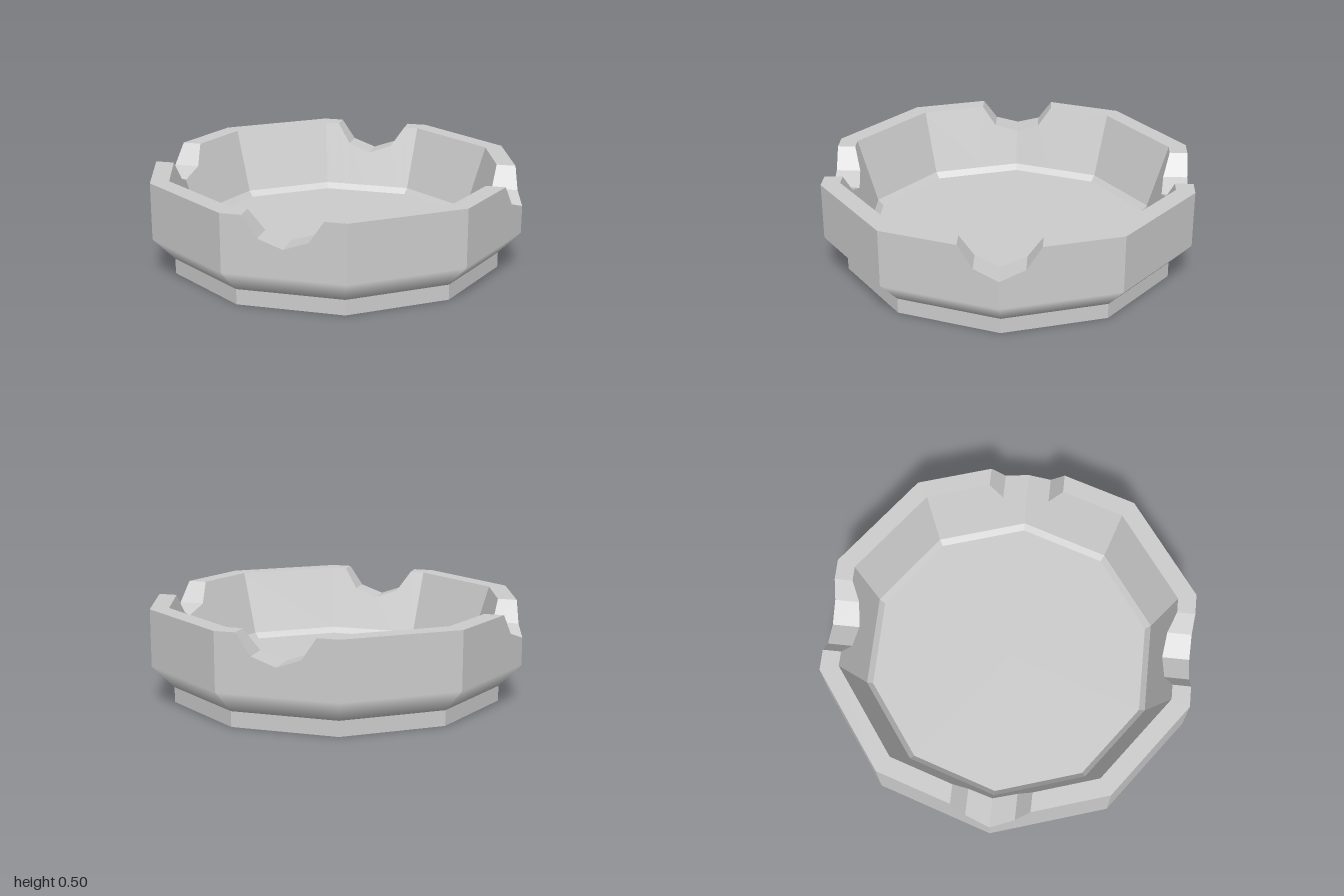
import * as THREE from 'three';

const TAN = Math.tan(Math.PI / 10), COS = Math.cos(Math.PI / 10);

// Stations around the ten-sided bowl: plan position at radius r, and rim height h
const corner = (deg) => {
  const a = THREE.MathUtils.degToRad(deg);
  return { at: (r) => [r * Math.cos(a), r * Math.sin(a)], h: 0.5 };
};
const sideNotch = (t, h) => ({ at: (r) => [r - t * TAN, t], h });
const frontNotch = (t, h) => ({ at: (r) => [t, r * COS], h });
const notch = [[0, 0.345], [0.125, 0.39], [0.2, 0.5]];

const quadrant = [
  ...notch.map(([t, h]) => sideNotch(t, h)),
  corner(36), corner(72),
  ...[...notch].reverse().map(([t, h]) => frontNotch(t, h)),
];

// Mirror the quadrant into a closed loop
function makeLoop() {
  const loop = [];
  for (const [sx, sz] of [[1, 1], [-1, 1], [-1, -1], [1, -1]]) {
    const part = quadrant.map(({ at, h }) => ({
      at: (r) => { const [x, z] = at(r); return [x * sx, z * sz]; }, h,
    }));
    if (sx * sz < 0) part.reverse();
    loop.push(...part.slice(0, -1));
  }
  return loop;
}

// Strip between two profile points; each point is a function of rim height giving [radius, y].
// Optional tilts give the outward and vertical normal parts at the two ends.
function strip(loop, p, q, tilts) {
  const pos = [], nor = [];
  const place = (s, f) => {
    const [r, y] = f(s.h), [x, z] = s.at(r);
    return [x, y, z];
  };
  loop.forEach((a, i) => {
    const b = loop[(i + 1) % loop.length];
    const ap = place(a, p), aq = place(a, q), bq = place(b, q), bp = place(b, p);
    pos.push(...ap, ...aq, ...bq, ...ap, ...bq, ...bp);
    if (tilts) {
      const [ax, az] = a.at(1), [bx, bz] = b.at(1);
      const len = Math.hypot(bx - ax, bz - az);
      const [n0, n1] = tilts.map(([out, up]) => [out * (bz - az) / len, up, -out * (bx - ax) / len]);
      nor.push(...n0, ...n1, ...n1, ...n0, ...n1, ...n0);
    }
  });
  const g = new THREE.BufferGeometry();
  g.setAttribute('position', new THREE.Float32BufferAttribute(pos, 3));
  if (tilts) g.setAttribute('normal', new THREE.Float32BufferAttribute(nor, 3));
  else g.computeVertexNormals();
  return g;
}

export function createModel() {
  const group = new THREE.Group();
  group.name = 'ashtray';
  const grey = new THREE.MeshStandardMaterial({ color: 0xcccccc });
  grey.name = 'light grey';
  const add = (name, geometry) => {
    const mesh = new THREE.Mesh(geometry, grey);
    mesh.name = name;
    group.add(mesh);
  };

  const loop = makeLoop();
  const fixed = (r, y) => () => [r, y];
  const outerTop = (h) => [1, h];
  const innerTop = (h) => [0.79 + 0.11 * (h - 0.16) / 0.34, h];

  // Foot
  const foot = new THREE.CylinderGeometry(0.885, 0.885, 0.08, 10).toNonIndexed();
  foot.computeVertexNormals();
  foot.rotateY(Math.PI / 2).translate(0, 0.04, 0);
  add('foot', foot);

  // Outside: rounded-looking lower bevel, then upright wall
  add('lowerBevel', strip(loop, fixed(0.885, 0.08), fixed(1, 0.2), [[0.4, -0.917], [1, 0]]));
  add('outerWall', strip(loop, fixed(1, 0.2), outerTop));

  // Rim with four rests, sloping inside wall and floor chamfer
  add('rim', strip(loop, outerTop, innerTop));
  add('innerWall', strip(loop, innerTop, fixed(0.79, 0.16)));
  add('floorChamfer', strip(loop, fixed(0.79, 0.16), fixed(0.76, 0.13)));

  // Floor
  add('floor', new THREE.CircleGeometry(0.76, 10).rotateX(-Math.PI / 2).translate(0, 0.13, 0));

  return group;
}
